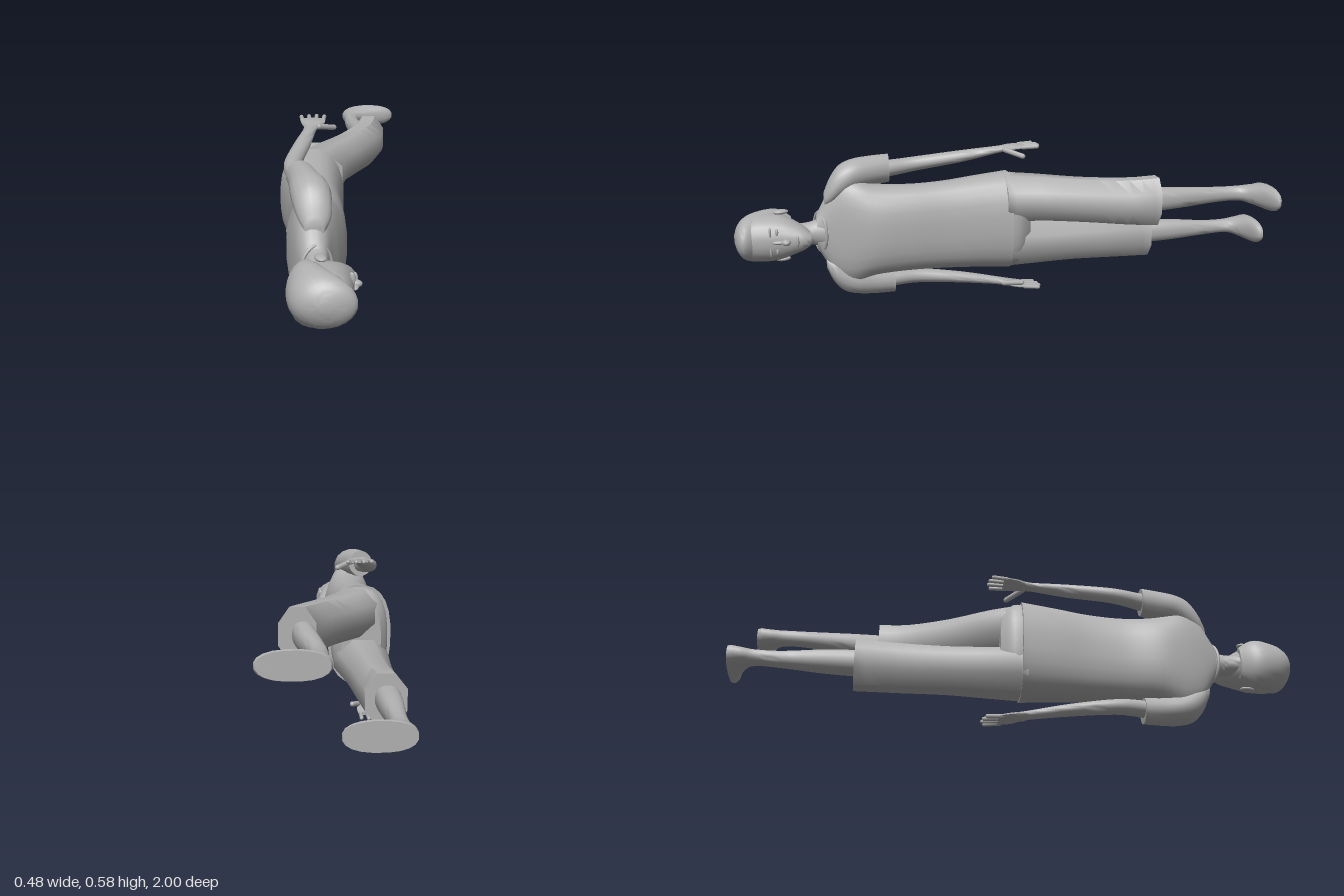
import * as THREE from 'three';
import { toCreasedNormals } from 'three/addons/utils/BufferGeometryUtils.js';

const grey = new THREE.MeshStandardMaterial({ color: 0xb0b0b0 });
grey.name = 'plain grey';

// Loft through rows [z, xMin, xMax, yMin, yMax], ordered from the head end to the foot end.
// power < 1 makes the rings boxier; sub smooths between rows.
function loft(rows, { sides = 24, power = 1, sub = 4, crease = 0.9 } = {}) {
  const at = (i, k) => rows[Math.max(0, Math.min(rows.length - 1, i))][k];
  const fine = [];
  for (let i = 0; i < rows.length - 1; i++) {
    for (let s = 0; s < sub; s++) {
      const t = s / sub;
      fine.push([0, 1, 2, 3, 4].map((k) => {
        const p1 = at(i, k), p2 = at(i + 1, k);
        const m1 = (p2 - at(i - 1, k)) / 2, m2 = (at(i + 2, k) - p1) / 2;
        return p1 + m1 * t + (3 * (p2 - p1) - 2 * m1 - m2) * t * t + (2 * (p1 - p2) + m1 + m2) * t * t * t;
      }));
    }
  }
  fine.push(rows[rows.length - 1]);

  const pos = [], index = [];
  const grow = sides <= 8 ? 1 / Math.cos(Math.PI / sides) : 1;
  const bend = (v) => Math.sign(v) * Math.min(1, Math.pow(Math.abs(v), power) * grow);
  for (const [z, x0, x1, y0, y1] of fine) {
    for (let j = 0; j < sides; j++) {
      const a = ((j + 0.5) / sides) * Math.PI * 2;
      pos.push((x0 + x1) / 2 + bend(Math.cos(a)) * (x1 - x0) / 2,
        (y0 + y1) / 2 + bend(Math.sin(a)) * (y1 - y0) / 2, z);
    }
  }
  const last = fine.length - 1;
  for (let i = 0; i < last; i++) {
    for (let j = 0; j < sides; j++) {
      const k = (j + 1) % sides;
      const a = i * sides + j, b = i * sides + k, c = a + sides, d = b + sides;
      index.push(a, c, b, b, c, d);
    }
  }
  // end caps
  const n = pos.length / 3;
  for (const r of [fine[0], fine[last]]) pos.push((r[1] + r[2]) / 2, (r[3] + r[4]) / 2, r[0]);
  for (let j = 0; j < sides; j++) {
    const k = (j + 1) % sides;
    index.push(n, j, k, n + 1, last * sides + k, last * sides + j);
  }
  const g = new THREE.BufferGeometry();
  g.setAttribute('position', new THREE.Float32BufferAttribute(pos, 3));
  g.setIndex(index);
  return toCreasedNormals(g, crease);
}

function add(parent, name, geometry) {
  const mesh = new THREE.Mesh(geometry, grey);
  mesh.name = name;
  parent.add(mesh);
  return mesh;
}

// Rounded rod between two points, for fingers and thumbs
function rod(parent, name, a, b, r) {
  const p = new THREE.Vector3(...a), q = new THREE.Vector3(...b);
  const d = q.clone().sub(p);
  const m = add(parent, name, new THREE.CapsuleGeometry(r, d.length(), 4, 8));
  m.position.copy(p).add(q).multiplyScalar(0.5);
  m.quaternion.setFromUnitVectors(new THREE.Vector3(0, 1, 0), d.normalize());
}

function ball(parent, name, x, y, z, sx, sy, sz) {
  const m = add(parent, name, new THREE.SphereGeometry(1, 16, 10));
  m.position.set(x, y, z);
  m.scale.set(sx, sy, sz);
  return m;
}

export function createModel() {
  const model = new THREE.Group();
  model.name = 'recliningFigure';

  // Head, with the face towards +x
  const head = new THREE.Group();
  head.name = 'head';
  model.add(head);
  add(head, 'skull', loft([
    [0.985, -0.14, -0.05, 0.25, 0.32], [0.965, -0.18, -0.03, 0.22, 0.345], [0.93, -0.2, -0.02, 0.2, 0.365],
    [0.88, -0.205, -0.014, 0.197, 0.368], [0.84, -0.195, -0.012, 0.204, 0.364], [0.8, -0.165, -0.008, 0.222, 0.348],
    [0.76, -0.125, -0.006, 0.242, 0.326], [0.735, -0.085, -0.015, 0.262, 0.306]], { power: 0.9 }));
  add(head, 'hair', loft([
    [1, -0.12, -0.08, 0.27, 0.3], [0.99, -0.155, -0.035, 0.24, 0.33], [0.97, -0.185, -0.008, 0.213, 0.355],
    [0.935, -0.205, -0.024, 0.196, 0.37], [0.88, -0.212, -0.07, 0.19, 0.376], [0.84, -0.204, -0.1, 0.197, 0.37],
    [0.8, -0.175, -0.12, 0.225, 0.345]]));
  ball(head, 'nose', -0.008, 0.285, 0.822, 0.02, 0.012, 0.016);
  ball(head, 'noseBridge', -0.012, 0.285, 0.845, 0.012, 0.007, 0.025);
  ball(head, 'lips', -0.01, 0.285, 0.783, 0.011, 0.022, 0.006);
  for (const s of [-1, 1]) {
    ball(head, 'ear', -0.11, 0.285 + s * 0.087, 0.835, 0.018, 0.009, 0.028).rotation.y = 0.25;
    ball(head, 'eye', -0.022, 0.285 + s * 0.034, 0.853, 0.008, 0.014, 0.006);
    ball(head, 'brow', -0.02, 0.285 + s * 0.036, 0.876, 0.008, 0.02, 0.004);
  }
  add(model, 'neck', loft([
    [0.82, -0.17, -0.06, 0.245, 0.325], [0.76, -0.16, -0.075, 0.247, 0.323],
    [0.72, -0.16, -0.08, 0.24, 0.33], [0.67, -0.17, -0.075, 0.225, 0.345]]));

  // Shirt body and collar
  add(model, 'shirt', loft([
    [0.71, -0.165, -0.085, 0.225, 0.35], [0.69, -0.175, -0.082, 0.19, 0.385], [0.65, -0.19, -0.07, 0.12, 0.455],
    [0.59, -0.205, -0.045, 0.09, 0.485], [0.5, -0.215, -0.02, 0.115, 0.455], [0.38, -0.2, -0.02, 0.125, 0.448],
    [0.25, -0.205, -0.025, 0.123, 0.452], [0.12, -0.225, -0.02, 0.116, 0.465], [0, -0.243, -0.01, 0.108, 0.477]],
  { power: 0.8 }));
  const collar = add(model, 'collar', new THREE.TorusGeometry(0.06, 0.006, 8, 32));
  collar.position.set(-0.12, 0.287, 0.698);
  collar.scale.set(0.85, 1.2, 1);
  collar.rotation.y = 0.4;

  // Trousers: hips, the straight leg and the leg raised forward
  add(model, 'trouserHips', loft([
    [0.03, -0.225, -0.02, 0.118, 0.468], [-0.03, -0.228, -0.025, 0.12, 0.466], [-0.075, -0.2, -0.06, 0.16, 0.42]],
  { power: 0.8 }));
  const cuffed = { sides: 8, sub: 3 };
  add(model, 'rightTrouserLeg', loft([
    [0.02, -0.225, -0.03, 0.118, 0.295], [-0.1, -0.225, -0.05, 0.117, 0.285], [-0.25, -0.218, -0.07, 0.118, 0.278],
    [-0.42, -0.22, -0.085, 0.112, 0.277], [-0.575, -0.235, -0.1, 0.105, 0.278]], cuffed));
  add(model, 'leftTrouserLeg', loft([
    [0.02, -0.22, -0.015, 0.29, 0.468], [-0.1, -0.165, 0.012, 0.3, 0.465], [-0.25, -0.065, 0.082, 0.306, 0.464],
    [-0.4, 0.015, 0.152, 0.306, 0.47], [-0.505, 0.05, 0.172, 0.303, 0.48]], cuffed));

  // Shins and feet, with the toes towards +x
  const foot = { sides: 20, power: 0.85 };
  add(model, 'rightShinAndFoot', loft([
    [-0.55, -0.215, -0.13, 0.15, 0.24], [-0.68, -0.212, -0.135, 0.155, 0.235], [-0.82, -0.203, -0.148, 0.165, 0.222],
    [-0.91, -0.205, -0.142, 0.17, 0.222], [-0.95, -0.213, -0.1, 0.163, 0.23], [-0.975, -0.215, -0.02, 0.155, 0.24],
    [-0.99, -0.215, 0, 0.15, 0.245], [-1, -0.213, 0, 0.152, 0.243]], foot));
  add(model, 'leftShinAndFoot', loft([
    [-0.48, 0.06, 0.13, 0.345, 0.435], [-0.6, 0.045, 0.117, 0.35, 0.428], [-0.76, 0.028, 0.086, 0.358, 0.415],
    [-0.85, 0.027, 0.09, 0.36, 0.415], [-0.89, 0.022, 0.14, 0.352, 0.42], [-0.915, 0.02, 0.215, 0.345, 0.427],
    [-0.93, 0.02, 0.243, 0.34, 0.432], [-0.942, 0.025, 0.238, 0.342, 0.43]], foot));

  // Sleeves
  add(model, 'leftSleeve', loft([
    [0.68, -0.155, -0.095, 0.38, 0.43], [0.655, -0.175, -0.075, 0.385, 0.485], [0.62, -0.19, -0.07, 0.405, 0.528],
    [0.57, -0.2, -0.075, 0.435, 0.547], [0.5, -0.205, -0.1, 0.445, 0.553], [0.44, -0.213, -0.12, 0.45, 0.554]],
  { sides: 16 }));
  add(model, 'rightSleeve', loft([
    [0.68, -0.155, -0.095, 0.145, 0.195], [0.655, -0.175, -0.075, 0.092, 0.19], [0.62, -0.19, -0.07, 0.055, 0.17],
    [0.57, -0.2, -0.075, 0.038, 0.14], [0.5, -0.205, -0.1, 0.028, 0.125], [0.43, -0.213, -0.12, 0.024, 0.118]],
  { sides: 16 }));

  // Arms running into flat palms
  add(model, 'leftArm', loft([
    [0.5, -0.2, -0.135, 0.465, 0.535], [0.44, -0.207, -0.14, 0.468, 0.53], [0.33, -0.222, -0.162, 0.482, 0.535],
    [0.17, -0.19, -0.132, 0.512, 0.556], [0.04, -0.155, -0.108, 0.545, 0.572], [-0.01, -0.162, -0.08, 0.557, 0.579],
    [-0.06, -0.168, -0.074, 0.564, 0.578]], { sides: 16 }));
  add(model, 'rightArm', loft([
    [0.5, -0.2, -0.135, 0.045, 0.108], [0.43, -0.207, -0.14, 0.045, 0.105], [0.33, -0.222, -0.162, 0.044, 0.098],
    [0.17, -0.208, -0.153, 0.034, 0.077], [0.03, -0.192, -0.145, 0.02, 0.05], [-0.03, -0.208, -0.118, 0.012, 0.034],
    [-0.08, -0.208, -0.12, 0.006, 0.022]], { sides: 16 }));

  // Fingers and thumbs
  for (let i = 0; i < 4; i++) {
    const len = [0.042, 0.052, 0.055, 0.046][i];
    rod(model, 'leftFinger', [-0.158 + i * 0.025, 0.571, -0.05], [-0.162 + i * 0.028, 0.573, -0.056 - len], 0.0075);
    rod(model, 'rightFinger', [-0.198 + i * 0.023, 0.014, -0.07], [-0.206 + i * 0.026, 0.0085, -0.077 - len], 0.0075);
  }
  rod(model, 'leftThumb', [-0.1, 0.562, 0.015], [-0.045, 0.546, -0.04], 0.01);
  rod(model, 'rightThumb', [-0.145, 0.03, 0.01], [-0.1, 0.042, -0.05], 0.01);

  return model;
}
